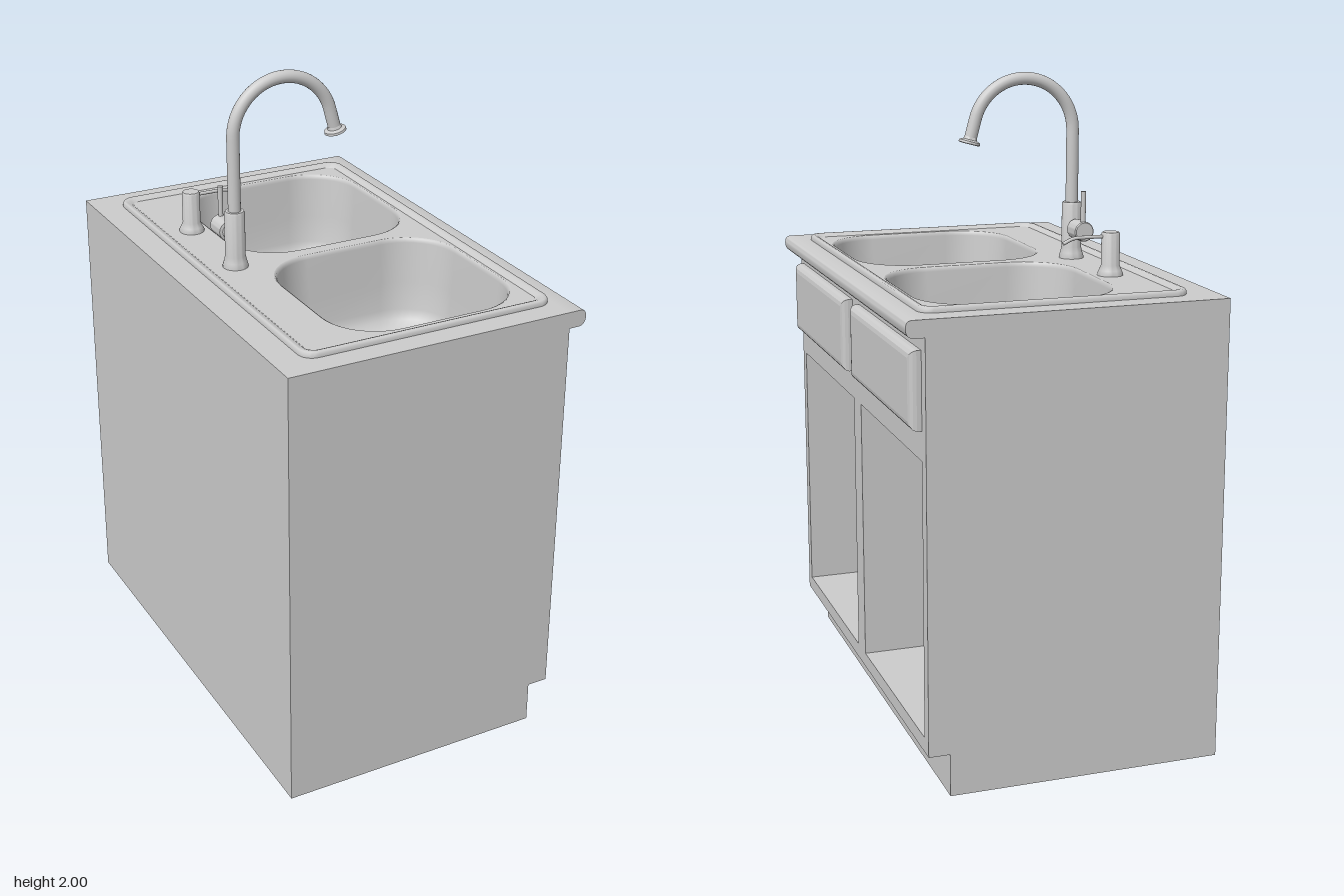
import * as THREE from 'three';
import { toCreasedNormals } from 'three/addons/utils/BufferGeometryUtils.js';

const material = new THREE.MeshStandardMaterial({ color: 0xcccccc, side: THREE.DoubleSide });
const V2 = (x, y) => new THREE.Vector2(x, y);
const V3 = (x, y, z) => new THREE.Vector3(x, y, z);

function add(parent, name, geometry, x = 0, y = 0, z = 0) {
  const mesh = new THREE.Mesh(geometry, material);
  mesh.name = name;
  mesh.position.set(x, y, z);
  parent.add(mesh);
  return mesh;
}

// Rounded rectangle outline in plan: half sizes hx, hz and corner radius r
function outline(cx, cz, hx, hz, r, steps = 10) {
  const points = [];
  [[1, 1], [-1, 1], [-1, -1], [1, -1]].forEach(([sx, sz], corner) => {
    for (let i = 0; i <= steps; i++) {
      const a = (corner + i / steps) * Math.PI / 2;
      points.push(V2(cx + sx * (hx - r) + r * Math.cos(a), cz + sz * (hz - r) + r * Math.sin(a)));
    }
  });
  return points;
}

// Skin over a list of { points, y } loops, outermost first
function loft(loops) {
  const n = loops[0].points.length, positions = [], index = [];
  loops.forEach(({ points, y }) => points.forEach(p => positions.push(p.x, y, p.y)));
  for (let k = 0; k < loops.length - 1; k++) {
    for (let i = 0; i < n; i++) {
      const j = (i + 1) % n, a = k * n, b = a + n;
      index.push(a + i, b + i, a + j, b + i, b + j, a + j);
    }
  }
  const g = new THREE.BufferGeometry();
  g.setAttribute('position', new THREE.Float32BufferAttribute(positions, 3));
  g.setIndex(index);
  g.computeVertexNormals();
  return g;
}

function flatShape(points, holes = []) {
  const shape = new THREE.Shape(points);
  holes.forEach(h => shape.holes.push(new THREE.Path(h)));
  return new THREE.ShapeGeometry(shape);
}

const rect = (x0, y0, x1, y1) => [V2(x0, y0), V2(x1, y0), V2(x1, y1), V2(x0, y1)];
const lathe = profile =>
  toCreasedNormals(new THREE.LatheGeometry(profile.map(([r, y]) => V2(r, y)), 32), 0.6);

function buildCabinet(parent) {
  const cabinet = new THREE.Group();
  cabinet.name = 'cabinet';
  parent.add(cabinet);

  // Sides with the toe notch
  const side = [[-0.48, 0], [0.36, 0], [0.36, 0.13], [0.425, 0.13], [0.425, 1.408], [-0.48, 1.408]];
  for (const s of [1, -1]) {
    const panel = add(cabinet, 'sidePanel', flatShape(side.map(p => V2(...p))), 0, 0, s * 0.74);
    if (s < 0) panel.geometry.scale(1, 1, -1);
  }
  add(cabinet, 'backPanel', new THREE.PlaneGeometry(1.48, 1.408).rotateY(-Math.PI / 2), -0.48, 0.704, 0);
  add(cabinet, 'toeKick', new THREE.PlaneGeometry(1.48, 0.13).rotateY(Math.PI / 2), 0.36, 0.065, 0);
  add(cabinet, 'toeOverhang', new THREE.PlaneGeometry(0.065, 1.48).rotateX(Math.PI / 2), 0.3925, 0.13, 0);

  // Front frame with two door openings
  const openings = [rect(-0.7, 0.175, -0.043, 1), rect(0.043, 0.175, 0.7, 1)];
  add(cabinet, 'frontFrame',
    flatShape(rect(-0.74, 0.13, 0.74, 1.408), openings).rotateY(Math.PI / 2), 0.425, 0, 0);

  for (const s of [1, -1]) {
    // Compartment: a box without its front face
    const box = new THREE.BoxGeometry(0.795, 0.825, 0.657);
    box.setIndex(Array.from(box.index.array).slice(6));
    add(cabinet, 'compartment', box, 0.0275, 0.5875, s * 0.3715);

    // Drawer front with a raised, bevelled panel
    const panel = new THREE.ExtrudeGeometry(new THREE.Shape(rect(-0.306, -0.09, 0.306, 0.09)), {
      depth: 0.014, bevelEnabled: true, bevelThickness: 0.02, bevelSize: 0.024, bevelSegments: 3,
    });
    add(cabinet, 'drawerFront', panel.rotateY(Math.PI / 2), 0.425, 1.201, s * 0.3715);
  }
}

function buildCountertop(parent) {
  const hole = rect(-0.35, -0.64, 0.395, 0.64);
  add(parent, 'countertop', flatShape(rect(-0.48, -0.74, 0.43, 0.74), [hole]).rotateX(-Math.PI / 2), 0, 1.408, 0);

  // Rounded front edge
  const nose = new THREE.Shape();
  nose.moveTo(0.42, 1.408);
  nose.lineTo(0.46, 1.408);
  nose.quadraticCurveTo(0.48, 1.408, 0.48, 1.386);
  nose.quadraticCurveTo(0.48, 1.357, 0.455, 1.357);
  nose.lineTo(0.42, 1.357);
  const g = new THREE.ExtrudeGeometry(nose, { depth: 1.48, bevelEnabled: false, curveSegments: 8 });
  add(parent, 'countertopEdge', toCreasedNormals(g, 0.6), 0, 0, -0.74);
}

function buildSink(parent) {
  const sink = new THREE.Group();
  sink.name = 'sink';
  parent.add(sink);
  const cx = 0.012, deckY = 1.414;

  // Raised rim: inset and height steps
  const rimAt = inset => outline(cx, 0, 0.404 - inset, 0.667 - inset, 0.045 - inset * 0.5);
  const rim = [[0, 1.408], [0, 1.418], [0.004, 1.424], [0.012, 1.425], [0.02, 1.422], [0.03, deckY]];
  add(sink, 'rim', toCreasedNormals(loft(rim.map(([d, y]) => ({ points: rimAt(d), y }))), 0.9));

  const bowlAt = (s, inset) => outline(0.075, s * 0.321, 0.304 - inset, 0.3 - inset, 0.17 - inset * 0.5);
  add(sink, 'deck', flatShape(rimAt(0.03), [bowlAt(1, 0), bowlAt(-1, 0)]).rotateX(-Math.PI / 2), 0, deckY, 0);

  // Bowls: rolled lip, slightly tapered walls, rounded floor
  const wall = [[0, deckY], [0.005, 1.411], [0.008, 1.4], [0.016, 1.27], [0.024, 1.18],
    [0.034, 1.15], [0.055, 1.13], [0.085, 1.12], [0.13, 1.116]];
  for (const s of [1, -1]) {
    const loops = wall.map(([d, y]) => ({ points: bowlAt(s, d), y }));
    // Floor closes in on the drain circle
    const drainLoop = outline(0.075, s * 0.321, 0.06, 0.06, 0.0599);
    loops.push({ points: drainLoop, y: 1.11 });
    add(sink, 'bowl', loft(loops));
    add(sink, 'drain', lathe([[0.061, 1.109], [0.057, 1.113], [0.05, 1.111], [0.044, 1.1], [0.03, 1.096], [0, 1.095]]),
      0.075, 0, s * 0.321);
  }
}

function buildFaucet(parent) {
  const faucet = new THREE.Group();
  faucet.name = 'faucet';
  faucet.position.set(-0.283, 0, 0);
  parent.add(faucet);

  add(faucet, 'faucetBase', lathe([[0.039, 1.412], [0.039, 1.42], [0.035, 1.432], [0.031, 1.45],
    [0.031, 1.585], [0.028, 1.592], [0, 1.592]]));

  // Gooseneck: straight riser, arc, short outlet
  const r = 0.163, top = 1.817, end = Math.PI / 12;
  const path = new THREE.CurvePath();
  path.add(new THREE.LineCurve3(V3(0, 1.585, 0), V3(0, top, 0)));
  const arc = [];
  for (let i = 0; i <= 24; i++) {
    const a = Math.PI - (Math.PI - end) * i / 24;
    arc.push(V3(r + r * Math.cos(a), top + r * Math.sin(a), 0));
  }
  path.add(new THREE.CatmullRomCurve3(arc));
  const dir = V3(Math.sin(end), -Math.cos(end), 0);
  const tip = arc[24].clone().addScaledVector(dir, 0.055);
  path.add(new THREE.LineCurve3(arc[24], tip));
  add(faucet, 'gooseneck', new THREE.TubeGeometry(path, 80, 0.0195, 20));

  const head = add(faucet, 'sprayHead', lathe([[0.0195, 0], [0.022, 0.008], [0.033, 0.013], [0.034, 0.02],
    [0.03, 0.022], [0, 0.022]]), tip.x, tip.y, 0);
  head.quaternion.setFromUnitVectors(V3(0, 1, 0), dir);

  // Side valve with upright lever
  add(faucet, 'valve', lathe([[0.022, 0.02], [0.022, 0.04], [0.031, 0.042], [0.031, 0.11], [0.028, 0.114], [0, 0.114]])
    .rotateX(-Math.PI / 2), 0, 1.512, 0);
  add(faucet, 'lever', new THREE.CylinderGeometry(0.0085, 0.0075, 0.11, 14), 0, 1.582, -0.099);
}

function buildDispenser(parent) {
  const dispenser = new THREE.Group();
  dispenser.name = 'soapDispenser';
  dispenser.position.set(-0.283, 0, -0.323);
  parent.add(dispenser);
  add(dispenser, 'dispenserBody', lathe([[0.039, 1.412], [0.039, 1.42], [0.034, 1.43], [0.028, 1.445],
    [0.028, 1.54], [0.025, 1.545], [0, 1.545]]));
  const spout = new THREE.CatmullRomCurve3([V3(0.01, 1.532, 0), V3(0.07, 1.532, 0), V3(0.12, 1.53, 0), V3(0.153, 1.516, 0)]);
  add(dispenser, 'dispenserSpout', new THREE.TubeGeometry(spout, 24, 0.0055, 10));
}

export function createModel() {
  const model = new THREE.Group();
  model.name = 'sinkCabinet';
  buildCabinet(model);
  buildCountertop(model);
  buildSink(model);
  buildFaucet(model);
  buildDispenser(model);
  return model;
}
